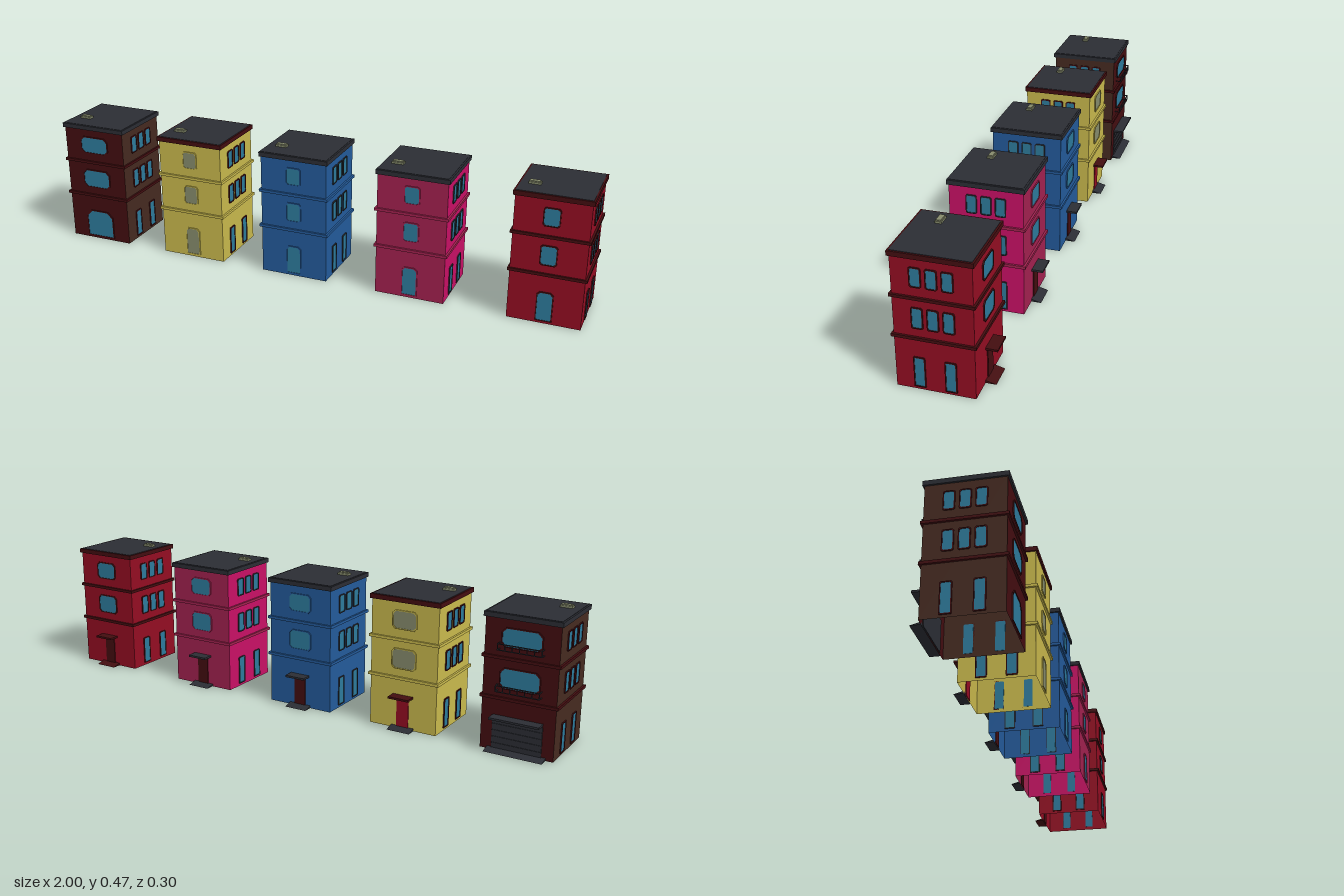
import * as THREE from 'three';

const mat = (name, color, side = THREE.FrontSide) => {
  const m = new THREE.MeshStandardMaterial({ color, side });
  m.name = name;
  return m;
};

// Shared sizes
const HALF = 0.125, WALL_H = 0.45, CENTRE_Z = 0.017;

export function createModel() {
  const D = THREE.DoubleSide;
  const C = {
    maroon: mat('maroon', 0x430d10, D), brown: mat('brown', 0x452a20, D),
    yellow: mat('yellow', 0xc8b84c, D), blue: mat('blue', 0x235a9a, D),
    pink: mat('pink', 0xa2214f, D), magenta: mat('magenta', 0xc81065, D),
    red: mat('red', 0x930d22, D), slate: mat('slate', 0x2b2d34),
    glass: mat('glass', 0x2d7a9b), olive: mat('olive', 0x868b6c),
  };

  const add = (parent, geo, material, name, x = 0, y = 0, z = 0) => {
    const m = new THREE.Mesh(geo, material);
    m.name = name;
    m.position.set(x, y, z);
    parent.add(m);
    return m;
  };
  const box = (parent, w, h, d, material, name, x, y, z) =>
    add(parent, new THREE.BoxGeometry(w, h, d), material, name, x, y, z);

  // Rectangle with cut corners, centred on the origin
  const outline = (w, h, top, bottom = top) => {
    const x = w / 2, y = h / 2;
    return [[-x + bottom, -y], [x - bottom, -y], [x, -y + bottom], [x, y - top],
      [x - top, y], [-x + top, y], [-x, y - top], [-x, -y + bottom]]
      .map(([a, b]) => new THREE.Vector2(a, b));
  };
  const extrude = (shape, depth) =>
    new THREE.ExtrudeGeometry(shape, { depth, bevelEnabled: false });

  // Glass pane with a thin raised frame; spans y0..y1
  const addWindow = (wall, x, y0, y1, w, top, bottom, glass, frame) => {
    const g = new THREE.Group();
    g.name = 'window';
    g.position.set(x, (y0 + y1) / 2, HALF);
    wall.add(g);
    const h = y1 - y0;
    const pane = extrude(new THREE.Shape(outline(w, h, top, bottom)), 0.003);
    add(g, pane, glass, 'windowPane', 0, 0, -0.001);
    const ring = new THREE.Shape(outline(w + 0.007, h + 0.007, top, bottom));
    ring.holes.push(new THREE.Path(outline(w, h, top, bottom)));
    add(g, extrude(ring, 0.004), frame, 'windowFrame');
  };

  // Side profile of the entrance ramp, swept across its width
  const addRamp = (wall, width, material) => {
    const s = new THREE.Shape([[0, 0], [0.034, 0], [0, 0.009]]
      .map(([a, b]) => new THREE.Vector2(a, b)));
    const ramp = add(wall, extrude(s, width), material, 'ramp', width / 2, 0, HALF);
    ramp.rotation.y = -Math.PI / 2;
  };

  // Open rail balcony
  const addBalcony = (wall, y) => {
    const g = new THREE.Group();
    g.name = 'balcony';
    g.position.set(0, y, HALF);
    wall.add(g);
    for (const h of [0, 0.02]) {
      box(g, 0.15, 0.003, 0.003, C.slate, 'frontRail', 0, h, 0.02);
      for (const s of [-1, 1]) box(g, 0.003, 0.003, 0.02, C.slate, 'sideRail', s * 0.0735, h, 0.01);
    }
    for (let i = 0; i <= 6; i++) {
      box(g, 0.003, 0.02, 0.003, C.slate, 'railPost', -0.0735 + i * 0.0245, 0.01, 0.02);
    }
  };

  const floors = [[0.356, 0.415], [0.217, 0.282]];

  const house = (o) => {
    const g = new THREE.Group();
    g.name = o.name;
    g.position.set(o.x, 0, CENTRE_Z);

    // Four walls, open underneath; each group faces outward along its own +z
    const walls = ['frontWall', 'leftWall', 'backWall', 'rightWall'].map((name, i) => {
      const w = new THREE.Group();
      w.name = name;
      w.rotation.y = i * Math.PI / 2;
      g.add(w);
      add(w, new THREE.PlaneGeometry(HALF * 2, WALL_H), i % 2 ? o.side : o.wall,
        'wallSurface', 0, WALL_H / 2, HALF);
      return w;
    });
    const [front, left, back, right] = walls;

    // Floor bands and roof
    for (const y of [0.181, 0.317]) {
      for (const w of walls) box(w, 0.264, 0.01, 0.008, o.band, 'floorBand', 0, y, HALF + 0.003);
    }
    box(g, 0.262, 0.016, 0.262, o.rim, 'roofSlab', 0, 0.454, 0);
    box(g, 0.25, 0.002, 0.25, C.slate, 'roofTop', 0, 0.4625, 0);
    box(g, 0.042, 0.007, 0.022, C.olive, 'roofVent', -0.078, 0.4665, 0.047);
    box(g, 0.036, 0.004, 0.016, C.olive, 'roofVentCap', -0.078, 0.472, 0.047);

    // Front windows and tall ground opening
    const fw = o.garage ? 0.11 : 0.05;
    const cut = o.garage ? 0.013 : 0.006;
    for (const [a, b] of floors) addWindow(front, 0, a, b, fw, cut, cut, o.pane, o.frontFrame);
    addWindow(front, 0, 0.012, 0.113, fw, cut * 1.6, 0.001, o.pane, o.frontFrame);

    // Three side windows per floor, two on the ground
    for (const w of [left, right]) {
      for (const x of [-0.049, 0, 0.049]) {
        for (const [a, b] of floors) addWindow(w, x, a, b, 0.03, 0.004, 0.004, C.glass, o.frame);
        if (x) addWindow(w, x, 0.013, 0.111, 0.03, 0.003, 0.001, C.glass, o.frame);
      }
    }

    // Back windows, entrance, canopy and ramp
    for (const [a, b] of floors) {
      addWindow(back, 0, a, b, o.garage ? 0.13 : 0.085, o.garage ? 0.014 : 0.01,
        o.garage ? 0.014 : 0.01, o.pane, o.frontFrame);
      if (o.garage) addBalcony(back, a - 0.01);
    }
    const doorW = o.garage ? 0.17 : 0.045;
    box(back, doorW, 0.108, 0.006, o.door, o.garage ? 'garageDoor' : 'door', 0, 0.057, HALF);
    box(back, o.garage ? 0.17 : 0.076, 0.007, 0.039, o.canopy, 'canopy', 0, 0.1185, HALF + 0.0195);
    addRamp(back, o.garage ? 0.2 : 0.085, o.ramp);
    if (o.garage) {
      for (let i = 1; i < 5; i++) {
        box(back, doorW, 0.003, 0.003, C.slate, 'garageDoorRib', 0, 0.003 + i * 0.022, HALF + 0.004);
      }
    }
    return g;
  };

  const model = new THREE.Group();
  model.name = 'houseRow';
  const { maroon, brown, yellow, blue, pink, magenta, red, slate, glass, olive } = C;
  model.add(
    house({ name: 'brownHouse', x: -0.868, wall: maroon, side: brown, band: maroon, rim: slate,
      pane: glass, frame: maroon, frontFrame: maroon, door: slate, canopy: slate, ramp: slate, garage: true }),
    house({ name: 'yellowHouse', x: -0.457, wall: yellow, side: yellow, band: yellow, rim: maroon,
      pane: olive, frame: maroon, frontFrame: yellow, door: red, canopy: maroon, ramp: slate }),
    house({ name: 'blueHouse', x: -0.043, wall: blue, side: blue, band: blue, rim: slate,
      pane: glass, frame: slate, frontFrame: blue, door: maroon, canopy: slate, ramp: slate }),
    house({ name: 'pinkHouse', x: 0.396, wall: pink, side: magenta, band: pink, rim: slate,
      pane: glass, frame: slate, frontFrame: pink, door: maroon, canopy: slate, ramp: slate }),
    house({ name: 'redHouse', x: 0.867, wall: red, side: red, band: maroon, rim: maroon,
      pane: glass, frame: maroon, frontFrame: maroon, door: maroon, canopy: maroon, ramp: maroon }),
  );
  return model;
}
